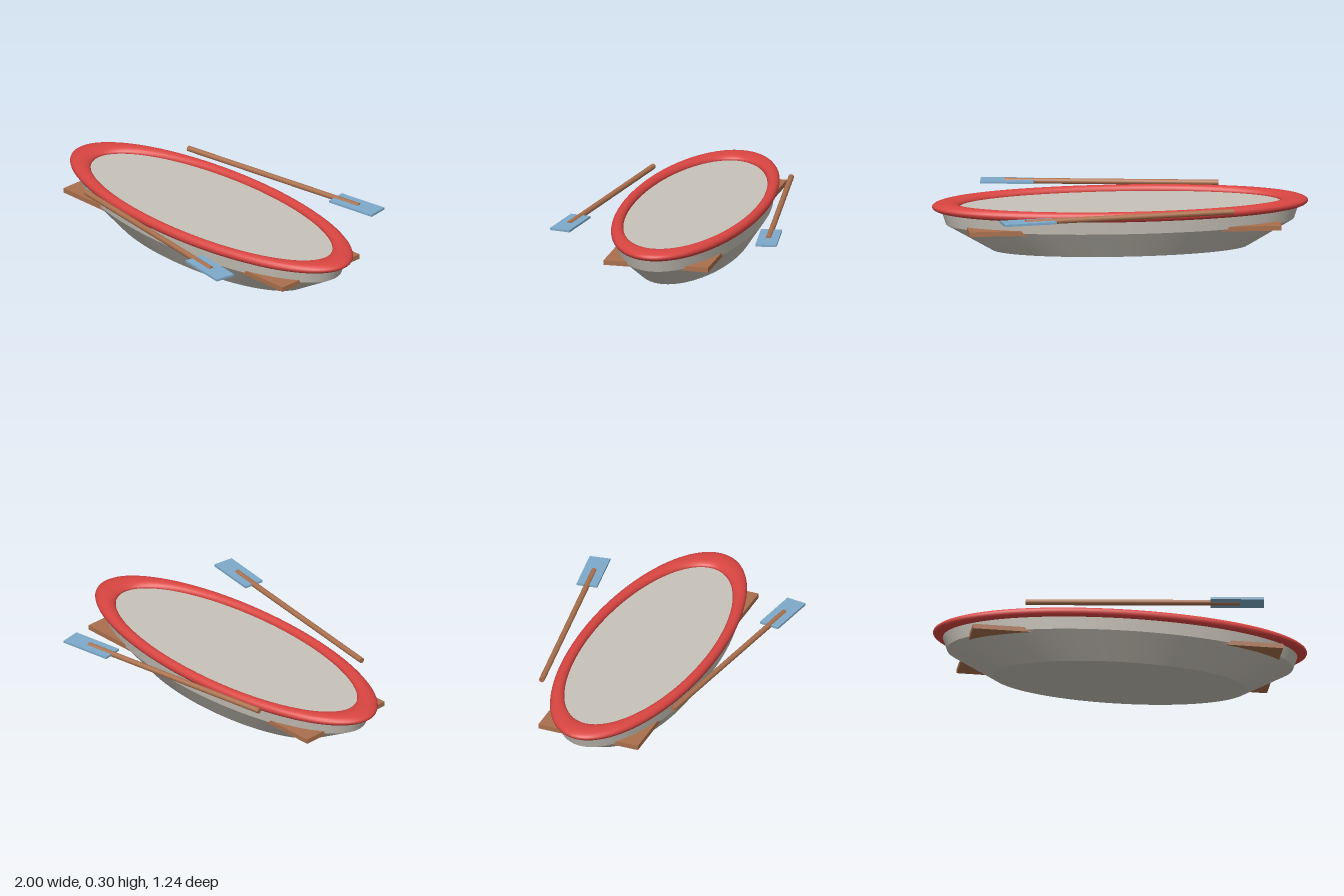
import * as THREE from 'three';
import { toCreasedNormals } from 'three/addons/utils/BufferGeometryUtils.js';

const BEAM = 0.381; // width of the elliptical hull relative to its length

function material(name, color) {
  const m = new THREE.MeshStandardMaterial({ color });
  m.name = name;
  return m;
}

function addMesh(parent, name, geometry, mat) {
  const mesh = new THREE.Mesh(geometry, mat);
  mesh.name = name;
  parent.add(mesh);
  return mesh;
}

export function createModel() {
  const boat = new THREE.Group();
  boat.name = 'rowingBoat';

  const grey = material('hullGrey', 0xc8c3b9);
  const red = material('rimRed', 0xd84541);
  const wood = material('woodBrown', 0xaa704d);
  const blue = material('bladeBlue', 0x7eaaca);

  // Hull: shallow pointed bottom, sloped bilge and steep upper side
  const profile = [[0, 0.003], [0.68, 0.034], [0.925, 0.175], [0.955, 0.265]]
    .map(([r, y]) => new THREE.Vector2(r, y));
  const hullShape = new THREE.LatheGeometry(profile, 112);
  hullShape.scale(1, 1, BEAM);
  addMesh(boat, 'hull', toCreasedNormals(hullShape, 0.35), grey);

  // Flat deck closing the hull
  const deckShape = new THREE.CircleGeometry(0.95, 96);
  deckShape.rotateX(-Math.PI / 2);
  deckShape.scale(1, 1, BEAM);
  addMesh(boat, 'deck', deckShape, grey).position.y = 0.265;

  // Flattened rim
  const rimShape = new THREE.TorusGeometry(0.927, 0.073, 20, 112);
  rimShape.rotateX(Math.PI / 2);
  rimShape.scale(1, 0.375, BEAM);
  addMesh(boat, 'rim', rimShape, red).position.y = 0.268;

  // Bench planks whose corners poke through the hull
  for (const side of [-1, 1]) {
    const bench = addMesh(boat, side > 0 ? 'leftBench' : 'rightBench',
      new THREE.BoxGeometry(0.33, 0.026, 0.57), wood);
    bench.position.set(side * 0.665, 0.176, 0);
  }

  // A pair of splayed oars
  const shaftShape = new THREE.CylinderGeometry(0.015, 0.015, 1.135, 16);
  shaftShape.rotateZ(Math.PI / 2);
  const bladeShape = new THREE.BoxGeometry(0.283, 0.012, 0.112);
  for (const side of [-1, 1]) {
    const oar = new THREE.Group();
    oar.name = side > 0 ? 'frontOar' : 'backOar';
    addMesh(oar, 'shaft', shaftShape, wood);
    addMesh(oar, 'blade', bladeShape, blue).position.x = 0.552;
    oar.position.set(-0.002, 0.29, side * 0.461);
    oar.rotation.y = -side * 0.148;
    boat.add(oar);
  }

  return boat;
}
